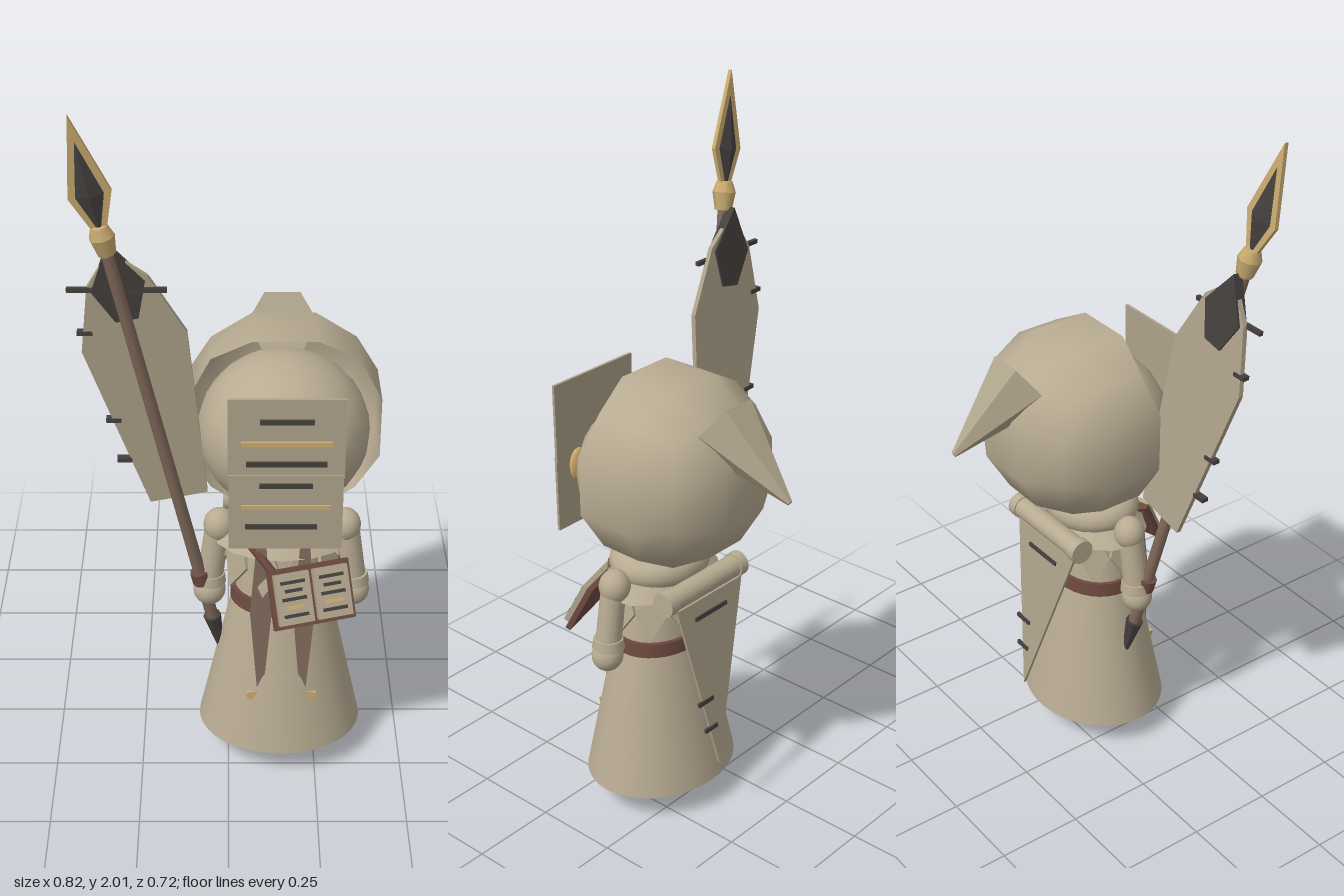
import * as THREE from 'three';
import { mergeVertices } from 'three/addons/utils/BufferGeometryUtils.js';

const V = (x, y, z) => new THREE.Vector3(x, y, z);
const UP = V(0, 1, 0);
const CX = 0.15, CZ = 0.11; // body axis

export function createModel() {
  const root = new THREE.Group();
  const material = (name, color, extra = {}) => {
    const m = new THREE.MeshStandardMaterial({ color, side: THREE.DoubleSide, ...extra });
    m.name = name;
    return m;
  };
  const cloth = material('cloth', 0xb8ab92);
  const paper = material('paper', 0xaea28a, { flatShading: true });
  const wood = material('wood', 0x80695a);
  const leather = material('leather', 0x6e4a40);
  const dark = material('dark', 0x45403e, { flatShading: true });
  const gold = material('gold', 0xc9ab70);

  const add = (name, geo, mat, pos = [0, 0, 0], parent = root, scale = [1, 1, 1]) => {
    const m = new THREE.Mesh(geo, mat);
    m.name = name;
    m.position.set(...pos);
    m.scale.set(...scale);
    parent.add(m);
    return m;
  };
  const box = (name, size, mat, pos, parent = root) =>
    add(name, new THREE.BoxGeometry(...size), mat, pos, parent);
  const ball = (name, pos, scale, mat = cloth) =>
    add(name, new THREE.SphereGeometry(1, 24, 16), mat, pos, root, scale);
  // Tapered rod from a to b
  const rod = (name, a, b, ra, rb, mat, seg = 16, parent = root) => {
    const m = add(name, new THREE.CylinderGeometry(rb, ra, a.distanceTo(b), seg), mat, [0, 0, 0], parent);
    m.position.copy(a).add(b).multiplyScalar(0.5);
    m.quaternion.setFromUnitVectors(UP, b.clone().sub(a).normalize());
    return m;
  };
  // Thin plate from an outline, centred on its thickness
  const plate = (name, pts, depth, mat, pos, parent = root) => {
    const shape = new THREE.Shape(pts.map(p => new THREE.Vector2(...p)));
    const g = new THREE.ExtrudeGeometry(shape, { depth, bevelEnabled: false });
    g.translate(0, 0, -depth / 2);
    return add(name, g, mat, pos, parent);
  };

  // Head and eyes
  ball('head', [CX, 1.035, 0.09], [0.235, 0.222, 0.23]);
  for (const s of [-1, 1]) ball('eye', [CX + s * 0.095, 1.02, 0.315], [0.032, 0.05, 0.016], gold);

  // Hood: coarse cube-sphere with its front slice left open
  let hood = new THREE.BoxGeometry(2, 2, 2, 3, 3, 3);
  hood.deleteAttribute('normal');
  hood.deleteAttribute('uv');
  hood.clearGroups();
  hood = mergeVertices(hood);
  const p = hood.attributes.position, kept = [];
  for (let i = 0; i < hood.index.count; i += 3) {
    const tri = [0, 1, 2].map(k => hood.index.getX(i + k));
    if (tri.every(v => p.getZ(v) < 0.5)) kept.push(...tri);
  }
  hood.setIndex(kept);
  for (let i = 0; i < p.count; i++) {
    const v = V().fromBufferAttribute(p, i).setLength(0.287);
    p.setXYZ(i, v.x, v.y, v.z);
  }
  hood.computeVertexNormals();
  add('hood', hood, cloth, [CX, 1.07, 0.06]);

  // Six-sided hood point at the back
  rod('hoodPoint', V(CX, 1.245, -0.135), V(CX, 1.09, -0.36), 0.1, 0.008, paper, 6).rotateY(Math.PI / 6);

  // Face veil with written lines
  box('veilUpper', [0.305, 0.235, 0.008], paper, [CX, 1.15, 0.344]);
  box('veilLower', [0.30, 0.225, 0.008], paper, [CX, 0.933, 0.349]);
  [[1.205, 0.14, dark], [1.14, 0.235, gold], [1.08, 0.21, dark],
    [1.015, 0.14, dark], [0.95, 0.235, gold], [0.89, 0.19, dark]].forEach(([y, w, mat]) =>
    box('veilLine', [w, 0.013, 0.008], mat, [CX - (w === 0.19 ? 0.012 : 0), y, 0.354]));

  // Robe, torso, belt
  add('skirt', new THREE.CylinderGeometry(0.14, 0.235, 0.43, 40, 1, true), cloth, [CX, 0.3, CZ], root, [1, 1, 0.85]);
  add('torso', new THREE.CylinderGeometry(0.1, 0.135, 0.3, 32), cloth, [CX, 0.66, CZ], root, [1, 1, 0.82]);
  add('belt', new THREE.CylinderGeometry(0.142, 0.145, 0.042, 32), leather, [CX, 0.528, CZ], root, [1, 1, 0.84]);
  add('neck', new THREE.CylinderGeometry(0.08, 0.08, 0.12, 20), cloth, [CX, 0.82, CZ]);

  // Collar, shoulder cape and its hanging diamond flaps
  const collar = add('collar', new THREE.TorusGeometry(0.11, 0.043, 14, 36), cloth, [CX, 0.767, 0.1], root, [1, 0.88, 1]);
  collar.rotation.x = Math.PI / 2;
  add('cape', new THREE.CylinderGeometry(0.1, 0.195, 0.09, 16, 1, true), cloth, [CX, 0.75, 0.1], root, [1, 1, 0.74]);
  for (let i = 0; i < 10; i++) {
    const a = (i + 0.5) / 10 * Math.PI * 2;
    const f = plate('capeFlap', [[0, 0.075], [0.045, 0], [0, -0.075], [-0.045, 0]], 0.01, paper,
      [CX + Math.sin(a) * 0.155, 0.66, 0.1 + Math.cos(a) * 0.135]);
    f.rotation.set(-0.3, a, 0, 'YXZ');
  }

  // Arms, hands, legs and feet
  for (const s of [-1, 1]) {
    const x = d => CX + s * d;
    ball('shoulder', [x(0.175), 0.74, CZ], [0.045, 0.05, 0.045]);
    rod('arm', V(x(0.18), 0.74, CZ), V(x(0.202), 0.57, 0.115), 0.035, 0.037, cloth);
    rod('cuff', V(x(0.202), 0.585, 0.115), V(x(0.203), 0.555, 0.115), 0.042, 0.046, cloth);
    ball('hand', [x(0.204), 0.53, 0.118], [0.046, 0.048, 0.044]);
    rod('leg', V(x(0.06), 0.4, CZ), V(x(0.058), 0.08, CZ), 0.045, 0.042, cloth);
    ball('foot', [x(0.057), 0.055, 0.126], [0.056, 0.055, 0.066]);

    // Front ribbon with gold tip
    const r = plate('ribbon', [[-0.014, 0.23], [0.014, 0.23], [0.03, 0.02], [0.008, -0.24], [-0.008, -0.24], [-0.03, 0.02]],
      0.008, wood, [x(0.06), 0.51, 0.243]);
    r.rotation.x = -0.06;
    const tip = box('ribbonTip', [0.055, 0.024, 0.012], gold, [x(0.07), 0.262, 0.258]);
    tip.rotation.z = s * -0.2;
  }

  // Open book and strap
  const book = new THREE.Group();
  book.name = 'book';
  book.position.set(0.23, 0.625, 0.287);
  book.rotation.set(-0.48, 0.3, 0, 'YXZ');
  root.add(book);
  box('cover', [0.235, 0.165, 0.016], leather, [0, 0, -0.012], book);
  for (const s of [-1, 1]) {
    box('page', [0.1, 0.14, 0.022], paper, [s * 0.056, 0, 0.003], book);
    for (let i = 0; i < 5; i++)
      box('pageLine', [i % 2 ? 0.05 : 0.07, 0.009, 0.004], i === 3 ? gold : dark, [s * 0.056, 0.046 - i * 0.023, 0.0155], book);
  }
  rod('bookStrap', V(0.04, 0.76, 0.2), V(0.13, 0.67, 0.265), 0.012, 0.012, leather, 6);

  // Polearm, built upright and then tilted
  const pole = new THREE.Group();
  pole.name = 'polearm';
  pole.position.set(-0.31, 1.67, 0.26);
  pole.quaternion.setFromUnitVectors(UP, V(-0.213, 1, 0.116).normalize());
  root.add(pole);
  const along = (name, y0, y1, r0, r1, mat, seg) => rod(name, V(0, y0, 0), V(0, y1, 0), r0, r1, mat, seg, pole);
  along('shaft', -1.3, 0, 0.018, 0.016, wood, 10);
  along('buttCap', -1.4, -1.27, 0.008, 0.026, dark, 8);
  along('grip', -1.14, -1.1, 0.027, 0.027, leather, 10);
  along('socketLower', -0.04, 0.01, 0.024, 0.033, gold, 8);
  along('socketUpper', 0.01, 0.04, 0.033, 0.022, gold, 8);
  // Spearhead: dark faceted blade with a thin gold edge
  const blade = k => [[0, 0.345], [0.055 * k, 0.13], [0.018 * k, 0.03], [-0.018 * k, 0.03], [-0.055 * k, 0.13]];
  plate('bladeEdge', blade(1), 0.012, gold, [0, 0, 0], pole);
  const head = along('bladeLower', 0.03, 0.13, 0.018, 0.051, dark, 4);
  const tipMesh = along('bladeUpper', 0.13, 0.335, 0.051, 0.001, dark, 4);
  for (const m of [head, tipMesh]) m.scale.z = 0.4;

  // Long leaf-shaped banner with dark cap
  plate('banner', [[0, -0.05], [0.08, -0.14], [0.14, -0.325], [0.08, -0.845], [-0.08, -0.845], [-0.14, -0.325], [-0.08, -0.14]],
    0.014, paper, [0, 0, -0.028], pole);
  plate('bannerCap', [[0, -0.03], [0.07, -0.15], [0.03, -0.25], [-0.03, -0.25], [-0.07, -0.15]],
    0.03, dark, [0, 0, -0.026], pole);
  box('crossbar', [0.255, 0.012, 0.012], dark, [-0.283, 1.517, 0.225]);
  [[-0.37, 1.385, 0.2], [-0.305, 1.11, 0.168], [-0.28, 0.98, 0.155]].forEach(q =>
    box('bannerPeg', [0.04, 0.012, 0.02], dark, q));

  // Scroll on the back with hanging pennant
  rod('scroll', V(0.0, 0.73, -0.05), V(0.29, 0.73, -0.05), 0.032, 0.032, cloth);
  for (const x of [0.0, 0.29]) rod('scrollEnd', V(x - 0.015, 0.73, -0.05), V(x + 0.015, 0.73, -0.05), 0.036, 0.036, cloth);
  const pennant = new THREE.Group();
  pennant.name = 'pennant';
  pennant.position.set(0.14, 0.7, -0.068);
  pennant.rotation.x = 0.125;
  root.add(pennant);
  plate('pennantCloth', [[-0.14, 0], [0.13, 0], [0.03, -0.525]], 0.008, paper, [0, 0, 0], pennant);
  [[0, -0.05, 0.13], [0.06, -0.31, 0.06], [0.05, -0.4, 0.05]].forEach(([x, y, w]) =>
    box('pennantMark', [w, 0.012, 0.008], dark, [x, y, -0.005], pennant));

  return root;
}
